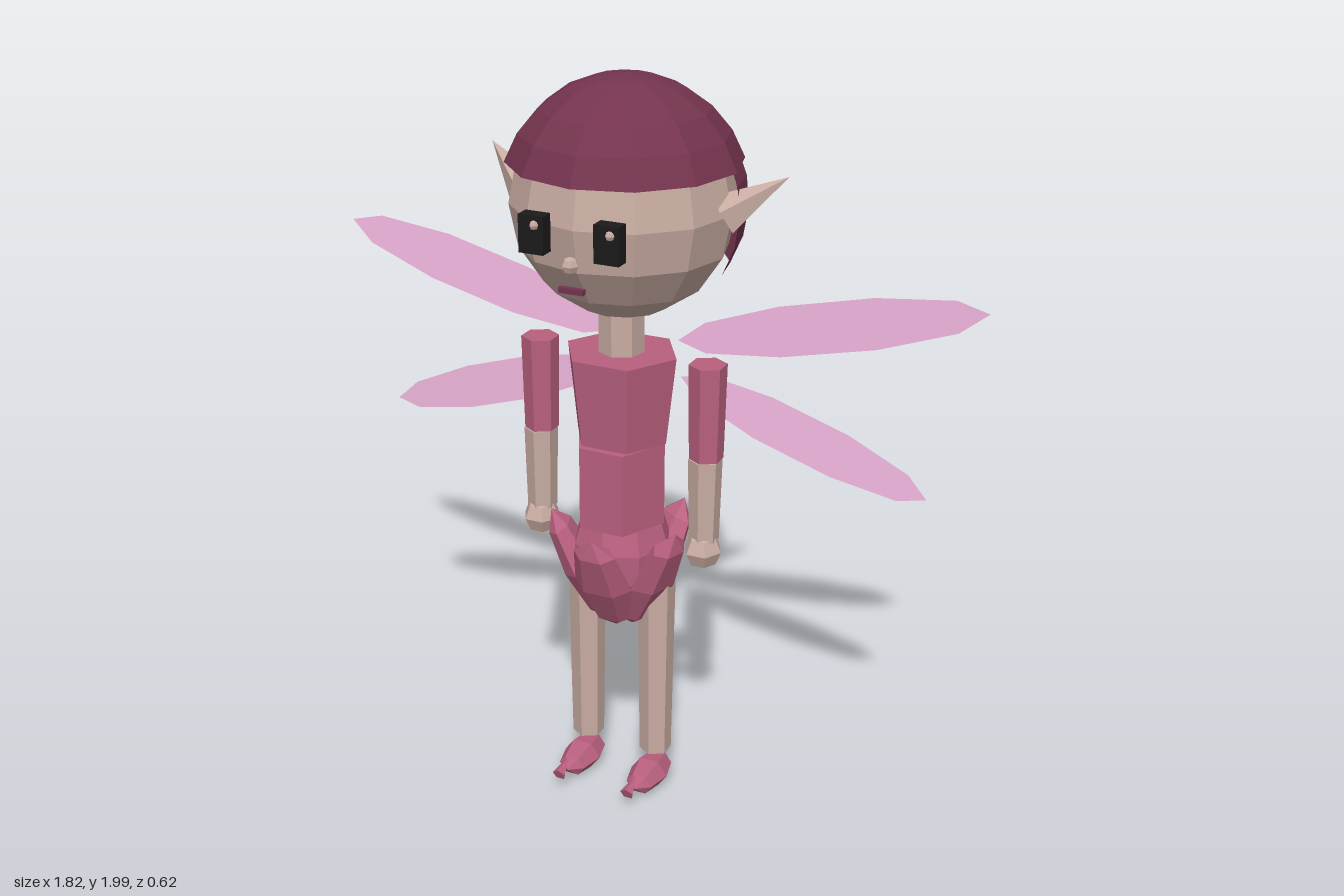
import * as THREE from 'three';

const material = (name, color, side = THREE.FrontSide) =>
  new THREE.MeshStandardMaterial({ name, color, side, flatShading: true });

export function createModel() {
  const skin = material('skin', 0xc8aca2);
  const hair = material('hair', 0x74344f, THREE.DoubleSide);
  const dress = material('dress', 0xb9607f);
  const wing = material('wing', 0xdba6cb, THREE.DoubleSide);
  const black = material('eye black', 0x1c1b1c);
  const model = new THREE.Group();
  model.name = 'fairy';

  const add = (name, geometry, mat, x, y, z) => {
    const mesh = new THREE.Mesh(geometry, mat);
    mesh.name = name;
    mesh.position.set(x, y, z);
    model.add(mesh);
    return mesh;
  };
  const ball = (rx, ry, rz, w = 6, h = 4) =>
    new THREE.SphereGeometry(1, w, h).scale(rx, ry, rz);
  // Upright tapered post between two heights
  const post = (name, mat, x, z, y0, y1, r0, r1, sides = 6) =>
    add(name, new THREE.CylinderGeometry(r1, r0, y1 - y0, sides), mat, x, (y0 + y1) / 2, z);
  // Cone from a base point to a tip
  const spike = (name, mat, base, tip, r, sides) => {
    const from = new THREE.Vector3(...base), dir = new THREE.Vector3(...tip).sub(from);
    const len = dir.length();
    const geo = new THREE.ConeGeometry(r, len, sides).translate(0, len / 2, 0);
    const mesh = add(name, geo, mat, ...base);
    mesh.quaternion.setFromUnitVectors(new THREE.Vector3(0, 1, 0), dir.normalize());
    return mesh;
  };

  // Head and face
  add('head', ball(0.29, 0.29, 0.28, 12, 8), skin, 0, 1.68, -0.005);
  add('nose', ball(0.022, 0.022, 0.022), skin, 0, 1.6, 0.29);
  add('mouth', new THREE.BoxGeometry(0.066, 0.014, 0.015), hair, 0, 1.535, 0.283);

  // Hair: a cap over the crown and a half shell behind
  add('hairCap', new THREE.SphereGeometry(0.315, 12, 5, 0, Math.PI * 2, 0, 1.247),
    hair, 0, 1.685, -0.01);
  add('hairBack', new THREE.SphereGeometry(0.312, 8, 4, Math.PI, Math.PI, 1.1, 1.0),
    hair, 0, 1.685, 0);

  // Neck and bodice
  post('neck', skin, 0, 0.01, 1.29, 1.43, 0.06, 0.06, 7);
  const torso = [
    post('chest', dress, 0, 0.01, 1.05, 1.29, 0.128, 0.155),
    post('waist', dress, 0, 0.01, 0.82, 1.05, 0.125, 0.125),
  ];
  torso.forEach((t, i) => {
    t.geometry.rotateY(Math.PI / 6);
    t.scale.z = i ? 1.14 : 0.95;
  });

  // Bulb of the skirt with upturned petals around it
  const bulb = [[0, 0.53], [0.07, 0.56], [0.13, 0.66], [0.135, 0.75], [0.11, 0.83], [0, 0.83]]
    .map(([r, y]) => new THREE.Vector2(r, y));
  add('skirtBulb', new THREE.LatheGeometry(bulb, 8), dress, 0, 0, 0.005);
  for (let i = 0; i < 5; i++) {
    const petal = ball(0.085, 0.18, 0.045).rotateX(0.45).translate(0, 0.66, 0.115);
    add('petal', petal.rotateY(i * Math.PI * 2 / 5), dress, 0, 0, 0.005);
  }

  for (const s of [1, -1]) {
    const side = s > 0 ? 'left' : 'right';
    // Ear and eye
    spike(side + 'Ear', skin, [s * 0.27, 1.68, 0], [s * 0.41, 1.775, -0.07], 0.055, 5);
    add(side + 'Eye', new THREE.BoxGeometry(0.066, 0.095, 0.04), black, s * 0.1, 1.665, 0.28);
    add(side + 'EyeGlint', ball(0.012, 0.012, 0.012), skin, s * 0.1 + 0.01, 1.69, 0.3);

    // Arm
    post(side + 'Sleeve', dress, s * 0.24, 0.005, 1.03, 1.29, 0.045, 0.05);
    post(side + 'Forearm', skin, s * 0.24, 0.01, 0.8, 1.03, 0.04, 0.045);
    add(side + 'Hand', ball(0.052, 0.052, 0.055), skin, s * 0.24, 0.77, 0.015);

    // Leg and curled shoe
    post(side + 'Leg', skin, s * 0.105, 0.01, 0.11, 0.68, 0.044, 0.052);
    add(side + 'Shoe', ball(0.054, 0.095, 0.044).rotateX(Math.PI / 2).scale(1, 1, 1),
      dress, s * 0.105, 0.05, 0.05);
    spike(side + 'ShoeToe', dress, [s * 0.105, 0.065, 0.195], [s * 0.105, 0.09, 0.135], 0.02, 5);

    // Wings: flat ovals leaning slightly back
    for (const [name, x, y, length, width, angle] of [
      ['UpperWing', 0.5, 1.38, 0.42, 0.068, 0.24],
      ['LowerWing', 0.445, 1.07, 0.36, 0.062, -0.31],
    ]) {
      const oval = new THREE.CircleGeometry(1, 10).scale(length, width, 1);
      const mesh = add(side + name, oval, wing, s * x, y, -0.14);
      mesh.rotation.set(-0.4, 0, s * angle, 'ZYX');
    }
  }
  return model;
}
